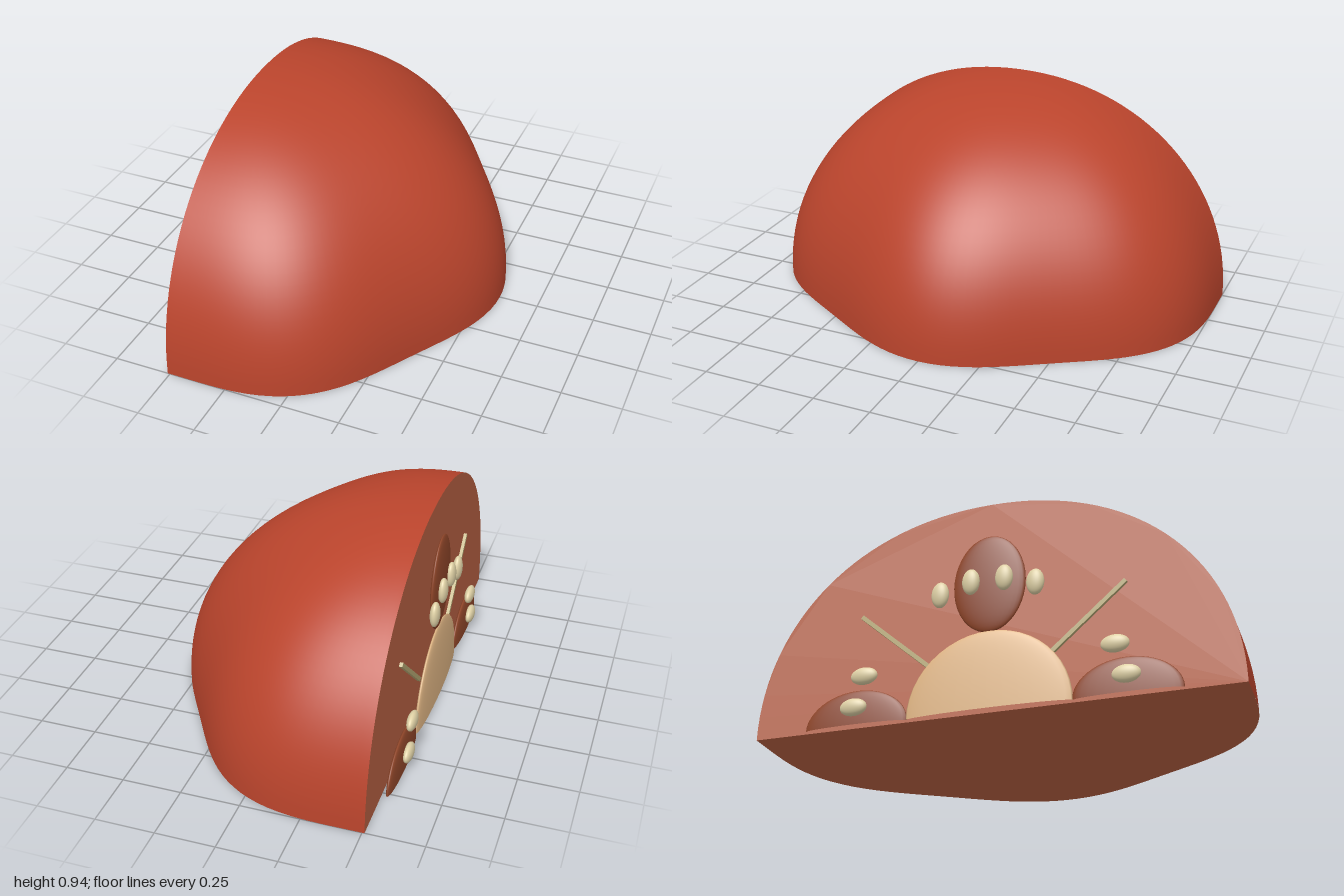
import * as THREE from 'three';

const CUT = -0.51, HEIGHT = 0.935;

function mat(name, color, side = THREE.FrontSide) {
  const m = new THREE.MeshStandardMaterial({ color, side });
  m.name = name;
  return m;
}

// Point on the skin: t is the turn from +x, up the elevation (0 to PI/2).
// Six soft lobes fade out toward the top.
function skinPoint(t, up) {
  const c = Math.max(Math.cos(up), 0);
  const oval = 1 / Math.hypot(Math.cos(t) / 1.058, Math.sin(t) / 1.031);
  const r = oval * (1 + 0.03 * c * Math.cos(6 * t)) * c ** 0.96;
  return [CUT + r * Math.cos(t), HEIGHT * Math.sin(up) ** 0.96, r * Math.sin(t)];
}

export function createModel() {
  const group = new THREE.Group();
  const skin = mat('red skin', 0xba442c);
  const flesh = mat('cut flesh', 0xbd6344, THREE.DoubleSide);
  const pocketMat = mat('dark pocket', 0x904629);
  const coreMat = mat('tan core', 0xe2b785);
  const seedMat = mat('pale seed', 0xe0d2a6);
  const veinMat = mat('olive vein', 0xbaac76);

  const add = (name, geometry, material) => {
    const mesh = new THREE.Mesh(geometry, material);
    mesh.name = name;
    group.add(mesh);
    return mesh;
  };

  // Outer skin: quarter of a lobed ellipsoid
  const outer = new THREE.SphereGeometry(1, 72, 32, Math.PI / 2, Math.PI, 0, Math.PI / 2);
  const p = outer.attributes.position, uv = outer.attributes.uv;
  for (let i = 0; i < p.count; i++) {
    const t = Math.atan2(p.getZ(i), p.getX(i));
    p.setXYZ(i, ...skinPoint(t, Math.asin(Math.min(1, Math.max(0, p.getY(i))))));
  }
  outer.deleteAttribute('uv');
  outer.computeVertexNormals();
  add('skin', outer, skin);

  // Flat cut faces: upright side and underside
  const side = [], base = [];
  for (let i = 0; i <= 64; i++) {
    const a = (i / 64) * Math.PI;
    const [, y, z] = skinPoint(Math.PI / 2, Math.min(a, Math.PI - a));
    side.push(new THREE.Vector2(i <= 32 ? z : -z, y));
    const [bx, , bz] = skinPoint(a - Math.PI / 2, 0);
    base.push(new THREE.Vector2(bx, bz));
  }
  const sideFace = new THREE.ShapeGeometry(new THREE.Shape(side));
  sideFace.rotateY(-Math.PI / 2).translate(CUT, 0, 0);
  add('sideCutFace', sideFace, flesh);
  const baseFace = new THREE.ShapeGeometry(new THREE.Shape(base));
  baseFace.rotateX(Math.PI / 2);
  add('underside', baseFace, flesh);

  // Flattened oval lying on the upright cut face
  const oval = (name, y, z, rx, ry, rz, x, material, half = false) => {
    const g = new THREE.SphereGeometry(1, 32, half ? 12 : 20, 0, Math.PI * 2, 0, half ? Math.PI / 2 : Math.PI);
    const mesh = add(name, g, material);
    mesh.scale.set(rx, ry, rz);
    mesh.position.set(x, y, z);
  };

  // Core
  oval('core', 0, 0, 0.026, 0.34, 0.34, -0.535, coreMat, true);

  // Seed pockets: one upright, two halved by the underside
  oval('topPocket', 0.552, 0, 0.022, 0.217, 0.152, -0.533, pocketMat);
  for (const s of [-1, 1]) {
    oval('sidePocket', 0, s * 0.552, 0.022, 0.152, 0.217, -0.533, pocketMat, true);
    // Seeds, long axis pointing out from the core
    for (const [out, across] of [[0.515, 0.2], [0.555, 0.07]]) {
      oval('topSeed', out, s * across, 0.021, 0.057, 0.037, -0.562, seedMat);
      oval('sideSeed', across, s * out, 0.021, 0.037, 0.057, -0.562, seedMat);
    }
    // Thin veins running between the pockets
    const vein = add('vein', new THREE.BoxGeometry(0.016, 0.42, 0.018), veinMat);
    const a = s * 0.85;
    vein.position.set(CUT - 0.006, 0.53 * Math.cos(a), 0.53 * Math.sin(a));
    vein.rotation.x = a;
  }
  return group;
}
